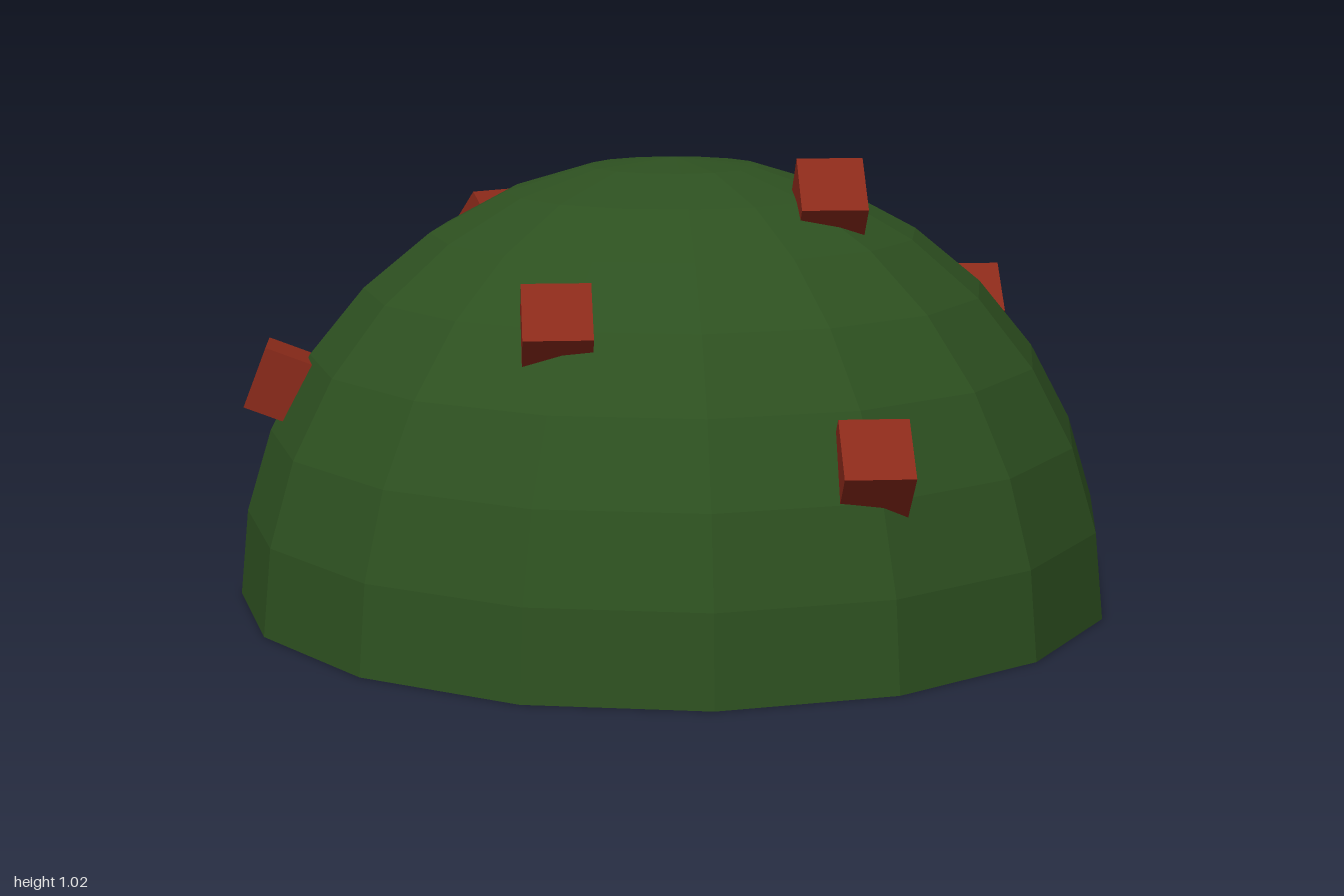
import * as THREE from 'three';

export function createModel() {
  const model = new THREE.Group();
  const leafMaterial = new THREE.MeshStandardMaterial({ color: 0x2d5020, flatShading: true });
  const berryMaterial = new THREE.MeshStandardMaterial({ color: 0x8b2a1a, flatShading: true });

  const add = (name, geometry, material) => {
    const mesh = new THREE.Mesh(geometry, material);
    mesh.name = name;
    model.add(mesh);
    return mesh;
  };

  // Faceted half-sphere bush
  add('bushDome', new THREE.SphereGeometry(1, 16, 8, 0, Math.PI * 2, 0, Math.PI / 2), leafMaterial);

  // Flat underside
  add('bushBase', new THREE.CircleGeometry(1, 16).rotateX(Math.PI / 2), leafMaterial);

  // Cube berries half sunk into the dome: position, then tilt about x, y and z
  const tilt = Math.PI / 4;
  const berryGeometry = new THREE.BoxGeometry(0.145, 0.145, 0.145);
  const berries = [
    [[0.318, 0.918, 0.273], [tilt, 0, 0]],
    [[0.337, 0.447, 0.828], [tilt, 0, 0]],
    [[-0.293, 0.7, 0.62], [tilt, 0, 0]],
    [[0.75, 0.594, -0.368], [tilt, 0, 0]],
    [[-0.885, 0.49, 0], [0, 0, -0.37]],
    [[-0.393, 0.77, -0.497], [tilt, 0.59, 0]],
  ];
  berries.forEach(([position, [x, y, z]], i) => {
    const berry = add(`berry${i + 1}`, berryGeometry, berryMaterial);
    berry.position.set(...position);
    berry.rotation.set(x, y, z, 'YXZ');
  });

  return model;
}
